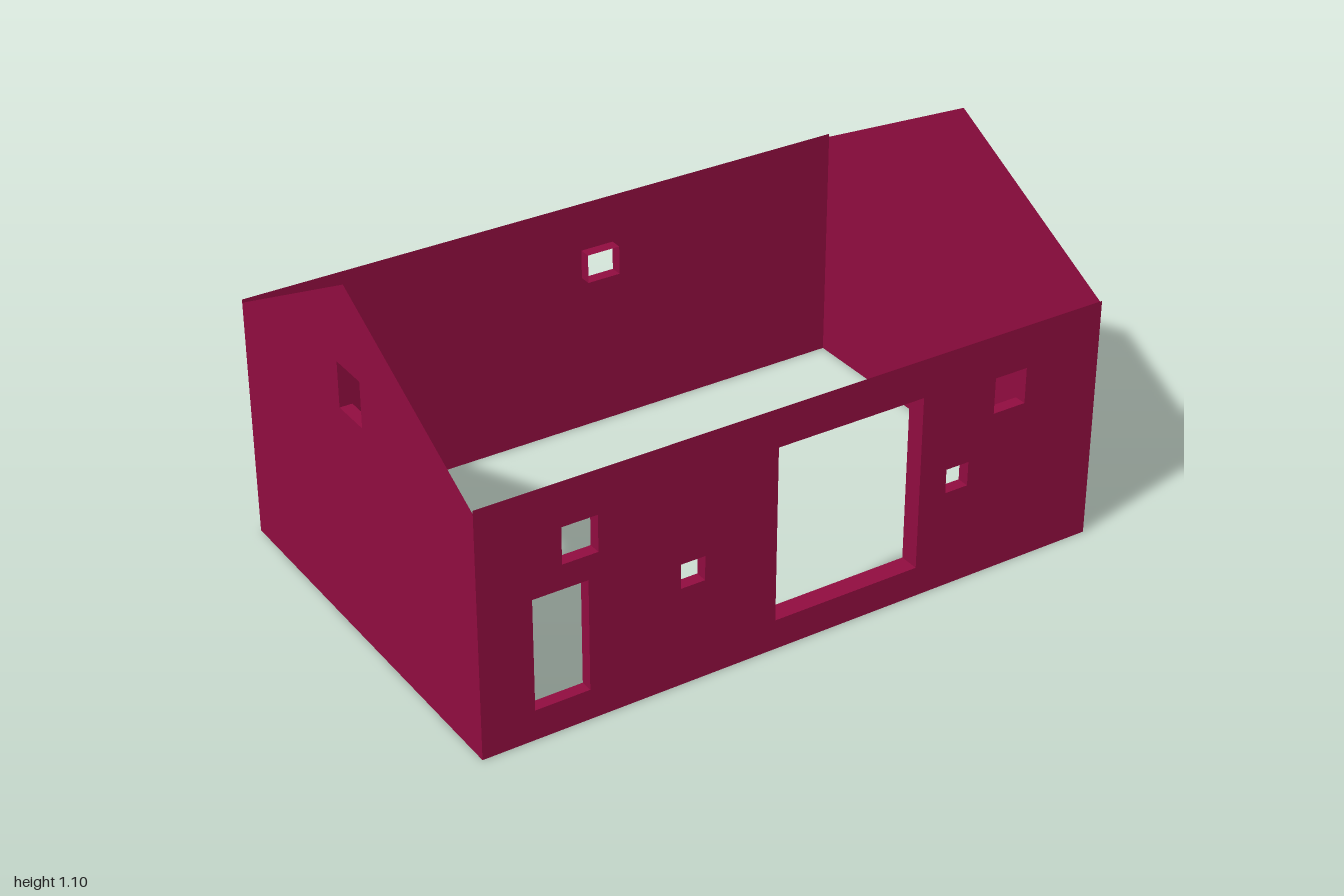
import * as THREE from 'three';

const HALF_X = 1, HALF_Z = 0.65;
const WALL_TOP = 0.76, EAVE = 0.75, RIDGE = 1.097;

const burgundy = new THREE.MeshStandardMaterial({ color: 0x900c3f, side: THREE.DoubleSide });
burgundy.name = 'burgundy';

// Opening in a wall: left, right, bottom, top, depth of the reveal behind it
const opening = (name, x0, x1, y0, y1, depth = 0.038) => ({ name, x0, x1, y0, y1, depth });

// Four thin faces lining an opening, running inward from the wall
function createReveal({ name, x0, x1, y0, y1, depth }) {
  const reveal = new THREE.Group();
  reveal.name = name;
  const w = x1 - x0, h = y1 - y0, cx = (x0 + x1) / 2, cy = (y0 + y1) / 2;
  const add = (part, geometry, x, y) => {
    const mesh = new THREE.Mesh(geometry.translate(x, y, -depth / 2), burgundy);
    mesh.name = part;
    reveal.add(mesh);
  };
  add('sill', new THREE.PlaneGeometry(w, depth).rotateX(-Math.PI / 2), cx, y0);
  add('head', new THREE.PlaneGeometry(w, depth).rotateX(Math.PI / 2), cx, y1);
  add('jamb', new THREE.PlaneGeometry(depth, h).rotateY(Math.PI / 2), x0, cy);
  add('jamb', new THREE.PlaneGeometry(depth, h).rotateY(-Math.PI / 2), x1, cy);
  return reveal;
}

// Thin wall in its own frame (outside faces +z), turned and pushed out to its side
function createWall(name, outline, openings, angle, distance) {
  const wall = new THREE.Group();
  wall.name = name;
  const shape = new THREE.Shape(outline.map(([x, y]) => new THREE.Vector2(x, y)));
  for (const { x0, x1, y0, y1 } of openings) {
    shape.holes.push(new THREE.Path([[x0, y0], [x0, y1], [x1, y1], [x1, y0]]
      .map(([x, y]) => new THREE.Vector2(x, y))));
  }
  const panel = new THREE.Mesh(new THREE.ShapeGeometry(shape), burgundy);
  panel.name = name + 'Panel';
  wall.add(panel, ...openings.map(createReveal));
  wall.rotation.y = angle;
  wall.position.set(Math.sin(angle) * distance, 0, Math.cos(angle) * distance);
  return wall;
}

export function createModel() {
  const house = new THREE.Group();
  house.name = 'houseShell';

  const longWall = [[-HALF_X, 0], [HALF_X, 0], [HALF_X, WALL_TOP], [-HALF_X, WALL_TOP]];
  const gable = [[-HALF_Z, 0], [HALF_Z, 0], [HALF_Z, EAVE], [0, RIDGE], [-HALF_Z, EAVE]];

  const frontOpenings = [
    opening('door', -0.84, -0.673, 0.094, 0.438),
    opening('upperWindow', -0.75, -0.642, 0.513, 0.625),
    opening('smallWindow', -0.391, -0.315, 0.308, 0.384),
    opening('gateway', -0.086, 0.389, 0.094, 0.641, 0.062),
    opening('smallWindow', 0.48, 0.556, 0.308, 0.384),
    opening('upperWindow', 0.636, 0.744, 0.513, 0.625),
  ];
  const backOpenings = [opening('backWindow', -0.208, -0.099, 0.513, 0.605)];
  const gableOpenings = [opening('gableWindow', -0.067, 0.061, 0.7, 0.84)];

  house.add(
    createWall('frontWall', longWall, frontOpenings, 0, HALF_Z),
    createWall('backWall', longWall, backOpenings, Math.PI, HALF_Z),
    createWall('leftGable', gable, [], Math.PI / 2, HALF_X),
    createWall('rightGable', gable, gableOpenings, -Math.PI / 2, HALF_X),
  );
  return house;
}
